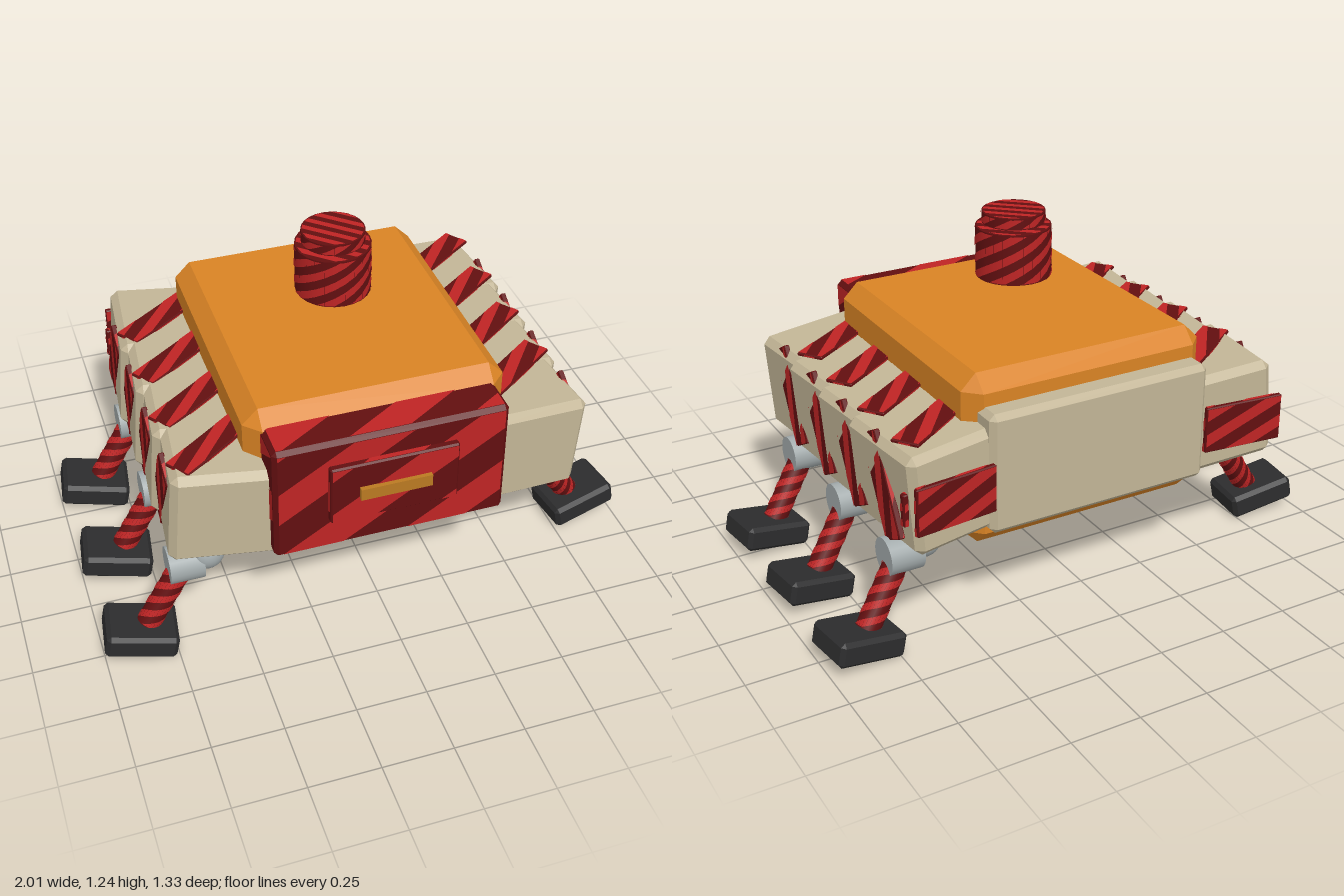
import * as THREE from 'three';
import { mergeGeometries } from 'three/addons/utils/BufferGeometryUtils.js';
import { ConvexGeometry } from 'three/addons/geometries/ConvexGeometry.js';

function material(name, color) {
  const m = new THREE.MeshStandardMaterial({ color });
  m.name = name;
  return m;
}

const orange = material('orange', 0xd98324);
const gold = material('gold', 0xba7a22);
const beige = material('beige', 0xc2b596);
const darkRed = material('dark red', 0x620f10);
const brightRed = material('bright red', 0xbe2424);
const black = material('black', 0x2c2c2d);
const grey = material('grey', 0xa3abac);

function add(parent, name, geometry, mat, pos = [0, 0, 0], rot = [0, 0, 0]) {
  const mesh = new THREE.Mesh(geometry, mat);
  mesh.name = name;
  mesh.position.set(...pos);
  mesh.rotation.set(...rot);
  parent.add(mesh);
  return mesh;
}

// Box with every edge cut at 45 degrees
function chamferBox(w, h, d, c) {
  const points = [];
  for (const x of [-1, 1]) for (const y of [-1, 1]) for (const z of [-1, 1]) {
    const a = w / 2, b = h / 2, e = d / 2;
    points.push(
      new THREE.Vector3(x * a, y * (b - c), z * (e - c)),
      new THREE.Vector3(x * (a - c), y * b, z * (e - c)),
      new THREE.Vector3(x * (a - c), y * (b - c), z * e));
  }
  return new ConvexGeometry(points);
}

// Keep the part of a convex polygon where f >= 0
function clip(poly, f) {
  const out = [];
  poly.forEach((p, i) => {
    const q = poly[(i + 1) % poly.length];
    const a = f(p), b = f(q);
    if (a >= 0) out.push(p);
    if (a * b < 0) {
      const t = a / (a - b);
      out.push([p[0] + (q[0] - p[0]) * t, p[1] + (q[1] - p[1]) * t]);
    }
  });
  return out;
}

// Diagonal bands cut to a convex polygon, facing +z
function stripes(poly, angle, period, shift = 0) {
  const across = p => p[1] * Math.cos(angle) - p[0] * Math.sin(angle);
  const values = poly.map(across);
  const first = Math.floor((Math.min(...values) - shift) / period);
  const last = Math.ceil((Math.max(...values) - shift) / period);
  const pos = [];
  for (let k = first; k <= last; k++) {
    const lo = k * period + shift, hi = lo + period * 0.48;
    const band = clip(clip(poly, p => across(p) - lo), p => hi - across(p));
    for (let i = 1; i < band.length - 1; i++) {
      for (const p of [band[0], band[i], band[i + 1]]) pos.push(p[0], p[1], 0);
    }
  }
  const g = new THREE.BufferGeometry();
  g.setAttribute('position', new THREE.Float32BufferAttribute(pos, 3));
  g.setAttribute('normal', new THREE.Float32BufferAttribute(pos.map((_, i) => (i % 3 === 2 ? 1 : 0)), 3));
  return g;
}

function stripedBox(parent, name, [w, h, d], c, angle, period, shift, pos, rot) {
  const group = new THREE.Group();
  group.name = name;
  group.position.set(...pos);
  group.rotation.set(...rot);
  parent.add(group);
  add(group, 'body', chamferBox(w, h, d, c), darkRed);
  const q = Math.PI / 2;
  const faces = [
    [w, h, d, 0, 0], [w, h, d, 0, 2 * q], [d, h, w, 0, q],
    [d, h, w, 0, -q], [w, d, h, -q, 0], [w, d, h, q, 0],
  ].map(([fw, fh, depth, rx, ry]) => {
    const a = fw / 2 - c, b = fh / 2 - c;
    return stripes([[-a, -b], [a, -b], [a, b], [-a, b]], angle, period, shift)
      .translate(0, 0, depth / 2 + 0.002).rotateX(rx).rotateY(ry);
  });
  add(group, 'stripes', mergeGeometries(faces), brightRed);
}

// Cylinder with a whole number of spiral bands and striped ends
function stripedCylinder(parent, name, r, h, angle, count, pos) {
  const n = 24, s = 2 * r * Math.sin(Math.PI / n);
  const group = new THREE.Group();
  group.name = name;
  group.position.set(...pos);
  parent.add(group);
  add(group, 'body', new THREE.CylinderGeometry(r, r, h, n), darkRed);
  const period = n * s * Math.sin(angle) / count;
  const sides = [];
  for (let i = 0; i < n; i++) {
    const u = i * s, v = h / 2 - 0.004;
    sides.push(stripes([[u, -v], [u + s, -v], [u + s, v], [u, v]], angle, period)
      .translate(-u - s / 2, 0, r * Math.cos(Math.PI / n) + 0.002)
      .rotateY((i + 0.5) * 2 * Math.PI / n));
  }
  const wrap = mergeGeometries(sides);
  const p = wrap.attributes.position;
  for (let i = 0; i < p.count; i++) {
    const l = Math.hypot(p.getX(i), p.getZ(i));
    wrap.attributes.normal.setXYZ(i, p.getX(i) / l, 0, p.getZ(i) / l);
  }
  const circle = Array.from({ length: n }, (_, i) => {
    const t = i * 2 * Math.PI / n;
    return [r * 0.96 * Math.cos(t), r * 0.96 * Math.sin(t)];
  });
  const ends = [-1, 1].map(e => stripes(circle, -0.75, r * 0.42)
    .translate(0, 0, h / 2 + 0.002).rotateX(e * Math.PI / 2));
  add(group, 'stripes', mergeGeometries([wrap, ...ends]), brightRed);
  return group;
}

export function createModel() {
  const model = new THREE.Group();
  model.name = 'walker';

  // Central body, rear block and front panel
  add(model, 'core', chamferBox(0.92, 0.62, 1.03, 0.055), orange, [0, 0.59, -0.025]);
  add(model, 'rearBlock', chamferBox(0.84, 0.43, 0.3, 0.02), beige, [0, 0.585, -0.47]);
  stripedBox(model, 'frontPanel', [0.82, 0.45, 0.16], 0.015, 0.55, 0.23, -0.09, [0, 0.625, 0.54], [0, 0, 0]);
  stripedBox(model, 'frontHatch', [0.45, 0.23, 0.03], 0.006, 0.55, 0.23, -0.06, [0, 0.645, 0.635], [0, 0, 0]);
  add(model, 'frontSlot', new THREE.BoxGeometry(0.25, 0.045, 0.02), gold, [0, 0.643, 0.657]);

  // Floating turret
  stripedCylinder(model, 'turret', 0.133, 0.18, 0.5, 7, [0, 1.1, -0.013]);
  stripedCylinder(model, 'turretCap', 0.111, 0.04, 0.5, 7, [0, 1.223, -0.013]);

  for (const s of [1, -1]) {
    // Overlapping armour blocks with striped planks on top and outside
    for (let i = 0; i < 4; i++) {
      const z = 0.36 - 0.255 * i;
      add(model, 'armourBlock', chamferBox(0.45, 0.36, 0.4, 0.025), beige,
        [s * 0.497, 0.56, z], [0, s * 0.1, -0.08]);
      stripedBox(model, 'topPlank', [0.34, 0.1, 0.012], 0.003, 0.3, 0.085, -0.02,
        [s * 0.555, 0.75, z + (s > 0 ? -0.05 : 0.02)], [-Math.PI / 2, 0, 0.62]);
      stripedBox(model, 'sidePlank', [0.12, 0.36, 0.02], 0.003, s * (Math.PI / 2 - 0.4), 0.095, -0.02,
        [s * 0.719, 0.555, z - 0.03], [0, s * Math.PI / 2, s * 0.5]);
    }

    // Rear plates
    stripedBox(model, 'rearPlate', [0.3, 0.17, 0.02], 0.004, 0.4, 0.09, 0,
      [s * 0.56, 0.555, -0.64], [0, s * 0.1, 0]);
    stripedBox(model, 'rearMarker', [0.025, 0.115, 0.02], 0.004, 0.5, 0.05, 0,
      [s * 0.715, 0.537, -0.587], [0, s * Math.PI / 2, 0]);

    // Legs
    for (let i = 0; i < 3; i++) {
      const hipZ = (s > 0 ? 0.335 : 0.455) - 0.41 * i;
      const footZ = (s > 0 ? 0.292 : 0.48) - 0.41 * i;
      add(model, 'hipBall', new THREE.SphereGeometry(0.065, 24, 16), grey, [s * 0.61, 0.355, hipZ]);
      add(model, 'hipJoint', new THREE.CylinderGeometry(0.066, 0.066, 0.12, 24), grey,
        [s * 0.688, 0.322, hipZ], [0, 0, Math.PI / 2]);
      const top = new THREE.Vector3(s * 0.7, 0.3, hipZ);
      const bottom = new THREE.Vector3(s * 0.835, 0.1, footZ);
      const dir = top.clone().sub(bottom);
      const leg = stripedCylinder(model, 'leg', 0.042, dir.length(), 0.6, 3,
        top.clone().add(bottom).multiplyScalar(0.5).toArray());
      leg.quaternion.setFromUnitVectors(new THREE.Vector3(0, 1, 0), dir.normalize());
      add(model, 'foot', chamferBox(0.25, 0.09, 0.195, 0.014), black,
        [s * 0.865, 0.073, footZ], [0, s * 0.13, s * 0.2]);
    }
  }
  return model;
}
